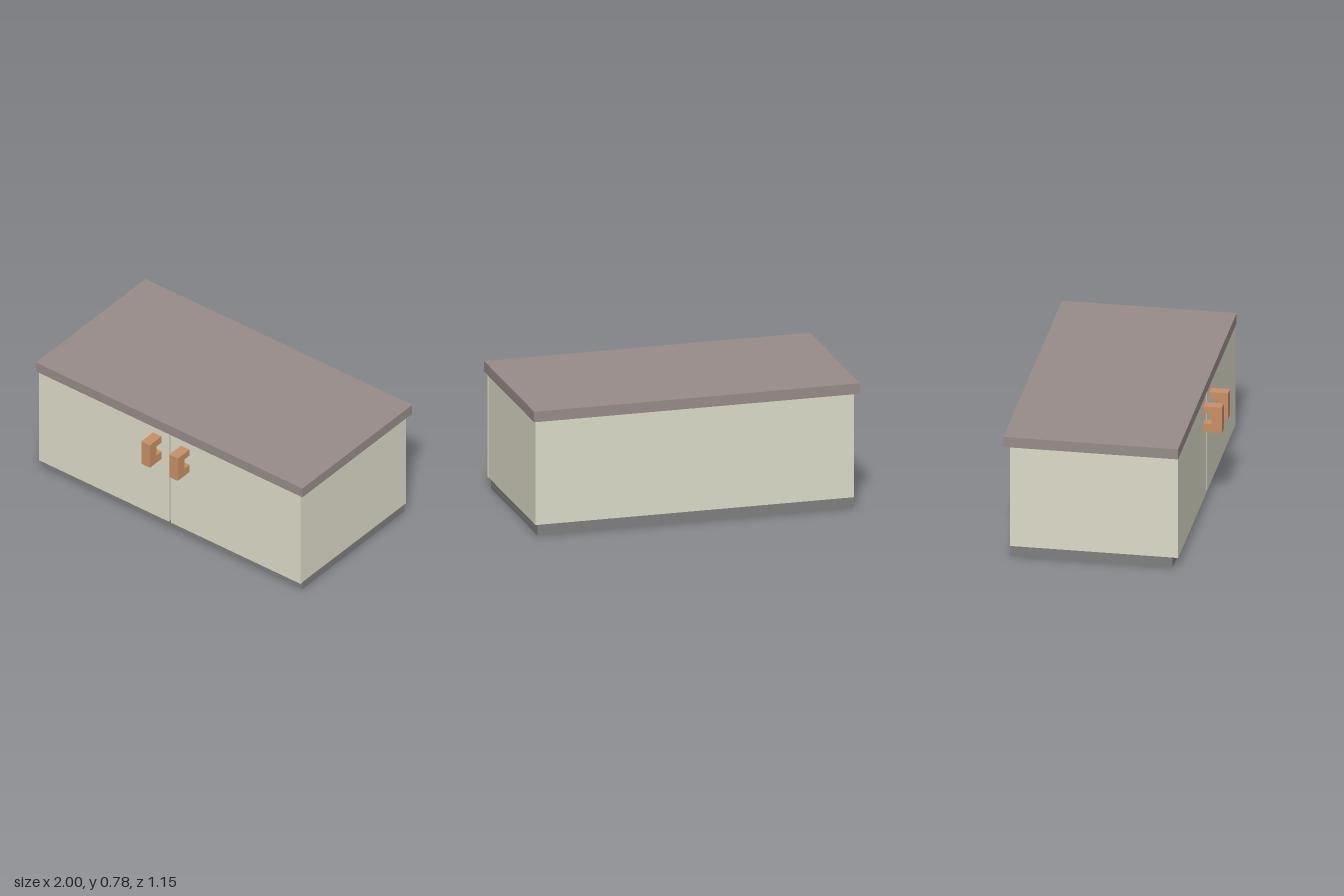
import * as THREE from 'three';

const material = (color) => new THREE.MeshStandardMaterial({ color });

// Box given by its limits on each axis
function box(name, [x0, x1], [y0, y1], [z0, z1], mat) {
  const mesh = new THREE.Mesh(new THREE.BoxGeometry(x1 - x0, y1 - y0, z1 - z0), mat);
  mesh.position.set((x0 + x1) / 2, (y0 + y1) / 2, (z0 + z1) / 2);
  mesh.name = name;
  return mesh;
}

// C-shaped pull: profile in the z-y plane, extruded across x
function handle(name, x0, width, mat) {
  const back = 0.465, front = 0.577, grip = 0.515;
  const profile = new THREE.Shape([
    [back, 0.503], [front, 0.503], [front, 0.668], [back, 0.668],
    [back, 0.624], [grip, 0.624], [grip, 0.557], [back, 0.557],
  ].map(([z, y]) => new THREE.Vector2(-z, y)));
  const geometry = new THREE.ExtrudeGeometry(profile, { depth: width, bevelEnabled: false });
  geometry.rotateY(Math.PI / 2);
  const mesh = new THREE.Mesh(geometry, mat);
  mesh.position.x = x0;
  mesh.name = name;
  return mesh;
}

export function createModel() {
  const model = new THREE.Group();
  model.name = 'cabinet';
  const cream = material(0xdcdbc8);
  const wood = material(0xc89066);

  // Recessed base, carcass and overhanging worktop
  model.add(
    box('plinth', [-0.972, 0.97], [0, 0.065], [-0.54, 0.43], material(0x7f7f7f)),
    box('carcass', [-0.975, 0.981], [0.065, 0.712], [-0.541, 0.441], cream),
    box('worktop', [-1, 1], [0.712, 0.777], [-0.577, 0.468], material(0x978c89)),
  );

  // Doors with a narrow gap between them
  model.add(
    box('rightDoor', [-0.978, -0.005], [0.065, 0.711], [0.441, 0.465], cream),
    box('leftDoor', [0.012, 0.984], [0.065, 0.711], [0.441, 0.465], cream),
  );

  // One pull on each door
  model.add(
    handle('rightHandle', -0.122, 0.064, wood),
    handle('leftHandle', 0.087, 0.064, wood),
  );
  return model;
}
